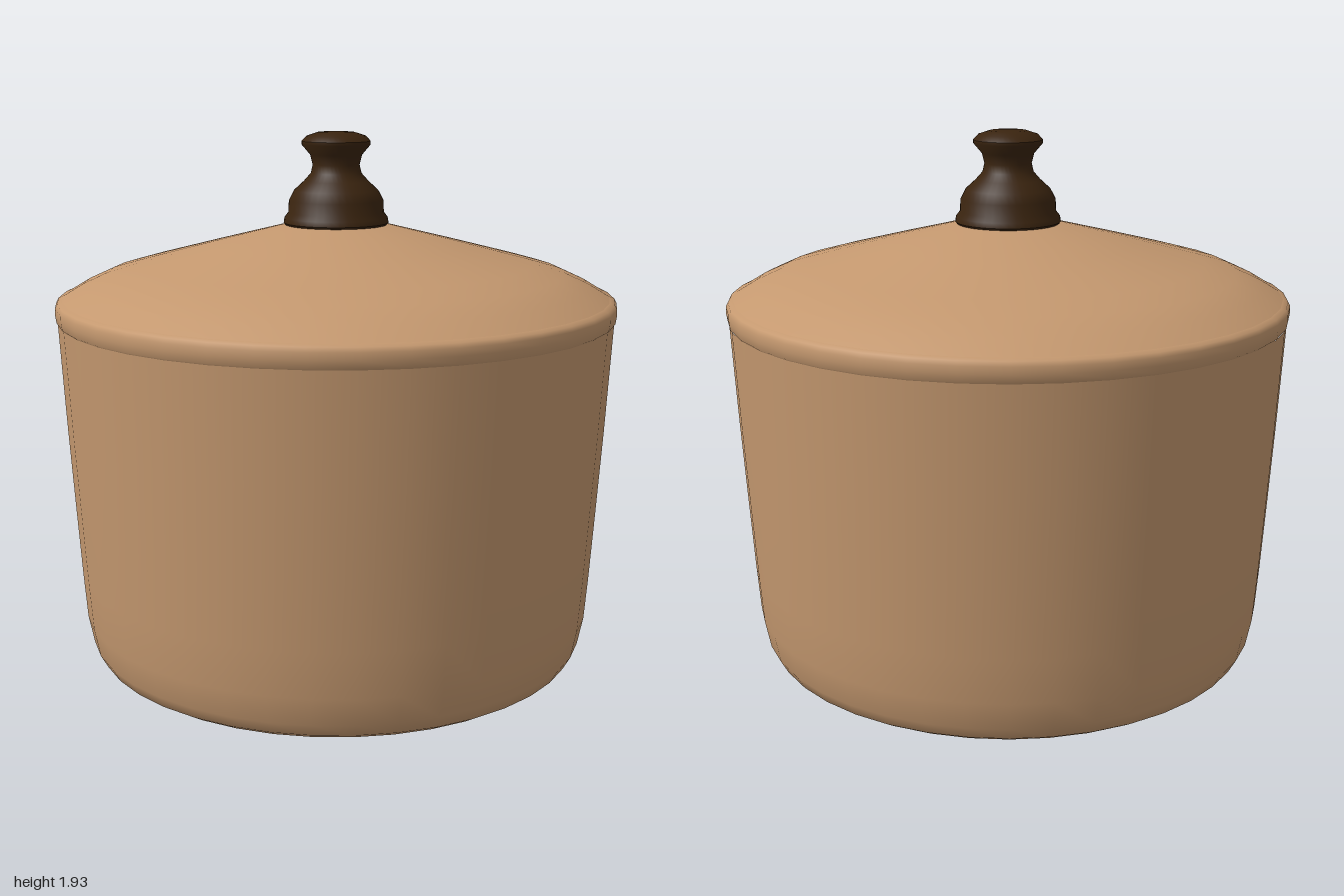
import * as THREE from 'three';
import { toCreasedNormals } from 'three/addons/utils/BufferGeometryUtils.js';

const SEGMENTS = 40;

// Turns a [radius, height] profile, listed from bottom to top, around the y axis
function turned(name, profile, material, crease) {
  const points = profile.map(([r, y]) => new THREE.Vector2(r, y));
  let geometry = new THREE.LatheGeometry(points, SEGMENTS);
  if (crease) geometry = toCreasedNormals(geometry, crease);
  const mesh = new THREE.Mesh(geometry, material);
  mesh.name = name;
  return mesh;
}

export function createModel() {
  const clay = new THREE.MeshStandardMaterial({ color: 0xc4986f });
  clay.name = 'tan enamel';
  const wood = new THREE.MeshStandardMaterial({ color: 0x3a240f });
  wood.name = 'dark wood';

  const pot = new THREE.Group();
  pot.name = 'lidded pot';

  // Tapered body with a rounded foot and a slightly bowed base
  pot.add(turned('body', [
    [0, 0.005], [0.4, 0.01], [0.78, 0.018], [0.84, 0.03], [0.88, 0.055],
    [0.905, 0.1], [0.925, 0.2], [0.937, 0.36], [0.952, 0.6],
    [0.97, 0.9], [0.99, 1.28],
  ], clay));

  // Rolled lip of the lid
  pot.add(turned('lidRim', [
    [0.985, 1.275], [0.994, 1.285], [0.998, 1.31], [0.998, 1.335],
    [0.99, 1.35], [0.972, 1.357],
  ], clay));

  // Shallow conical lid, curving down at the edge
  pot.add(turned('lid', [
    [0.975, 1.355], [0.9, 1.4], [0.81, 1.441], [0.7, 1.472],
    [0.45, 1.537], [0.18, 1.605], [0, 1.61],
  ], clay));

  // Turned knob: base ring, bulb, neck and flared cap
  pot.add(turned('knob', [
    [0, 1.6], [0.18, 1.603], [0.187, 1.612], [0.184, 1.63], [0.17, 1.648],
    [0.168, 1.69], [0.15, 1.725], [0.115, 1.757], [0.09, 1.785],
    [0.083, 1.815], [0.092, 1.85], [0.122, 1.885], [0.122, 1.897],
    [0.105, 1.915], [0.065, 1.928], [0, 1.932],
  ], wood, 0.75));

  return pot;
}
